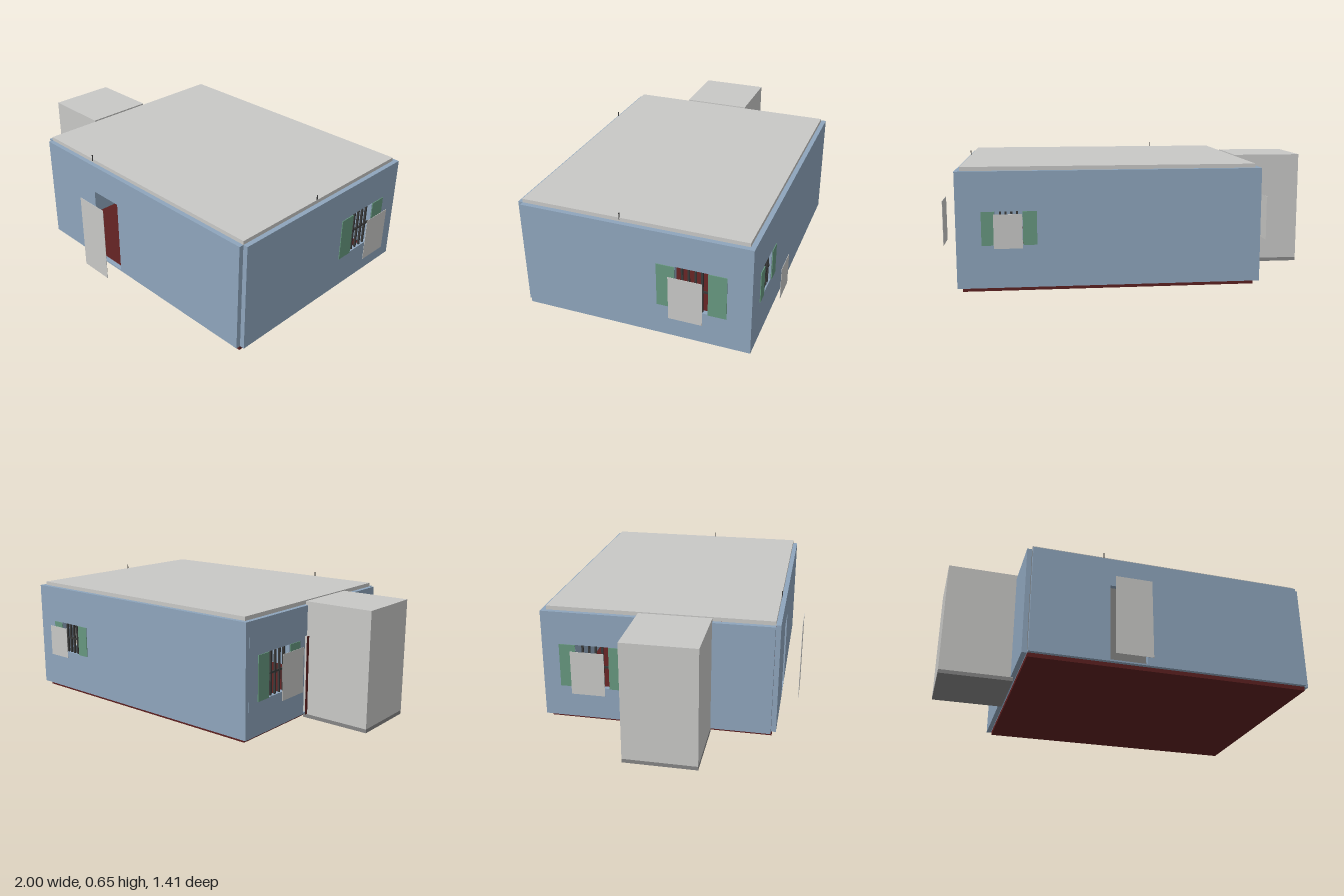
import * as THREE from 'three';

const material = (name, color) => new THREE.MeshStandardMaterial({ name, color, side: THREE.DoubleSide });

export function createModel() {
  const house = new THREE.Group();
  house.name = 'house';
  const blue = material('wall blue', 0x8ea5bc);
  const grey = material('light grey', 0xc8c8c6);
  const red = material('floor red', 0x5c2020);
  const green = material('shutter green', 0x66977f);
  const dark = material('bar grey', 0x3a3a3a);
  const stone = material('base grey', 0x858585);

  const add = (name, geometry, mat, parent = house) => {
    const mesh = new THREE.Mesh(geometry, mat);
    mesh.name = name;
    parent.add(mesh);
    return mesh;
  };

  // Box given by its limits on each axis
  const box = (name, mat, [x0, x1], [y0, y1], [z0, z1], parent) => {
    const g = new THREE.BoxGeometry(x1 - x0, y1 - y0, z1 - z0);
    g.translate((x0 + x1) / 2, (y0 + y1) / 2, (z0 + z1) / 2);
    return add(name, g, mat, parent);
  };

  // Plate across an axis: u runs along x for 'z' plates, along z for 'x' plates
  const plate = (name, mat, axis, pos, u, y, parent, t = 0.002) => {
    const across = [pos - t / 2, pos + t / 2];
    return axis === 'z' ? box(name, mat, u, y, across, parent) : box(name, mat, across, y, u, parent);
  };

  // Wall with rectangular openings [u0, u1, y0, y1]
  const rectangle = (path, u0, u1, y0, y1) =>
    path.moveTo(u0, y0).lineTo(u1, y0).lineTo(u1, y1).lineTo(u0, y1).closePath();
  const thickness = 0.025;
  const wall = (name, axis, pos, u0, u1, openings) => {
    const shape = new THREE.Shape();
    rectangle(shape, u0, u1, 0.022, 0.61);
    for (const o of openings) {
      const hole = new THREE.Path();
      rectangle(hole, ...o);
      shape.holes.push(hole);
    }
    const g = new THREE.ExtrudeGeometry(shape, { depth: thickness, bevelEnabled: false });
    g.translate(0, 0, -thickness / 2);
    if (axis === 'x') g.rotateY(-Math.PI / 2).translate(pos, 0, 0);
    else g.translate(0, 0, pos);
    add(name, g, blue);
  };

  // Window: bars in the opening, a shutter on each side, a loose panel in front
  const windowSet = (name, axis, wallPos, shutterPos, panelPos, [s0, u0, u1, s1], y) => {
    const group = new THREE.Group();
    group.name = name;
    house.add(group);
    plate('leftShutter', green, axis, shutterPos, [s0, u0], y, group, 0.004);
    plate('rightShutter', green, axis, shutterPos, [u1, s1], y, group, 0.004);
    plate('windowPanel', grey, axis, panelPos, [u0, u1], y, group);
    for (let i = 1; i <= 4; i++) {
      const u = u0 + (u1 - u0) * i / 5;
      plate('windowBar', dark, axis, wallPos, [u - 0.005, u + 0.005], y, group, 0.01);
    }
    const mid = (y[0] + y[1]) / 2;
    plate('crossBar', dark, axis, wallPos, [u0, u1], [mid - 0.005, mid + 0.005], group, 0.008);
  };

  // Floor and roof
  box('floor', red, [-0.605, 0.885], [0, 0.022], [-0.595, 0.585]);
  box('roof', grey, [-0.605, 0.885], [0.609, 0.63], [-0.595, 0.581]);

  // Walls, with open notches at the two front corners
  const sideY = [0.198, 0.434];
  const backY = [0.24, 0.41];
  wall('frontWall', 'z', 0.5935, -0.605, 0.885, [[-0.195, 0, 0.03, 0.45]]);
  wall('backWall', 'z', -0.6075, -0.632, 0.91, [[0.58, 0.72, ...backY]]);
  wall('leftWall', 'x', 0.8975, -0.595, 0.581, [[-0.404, -0.234, ...sideY]]);
  wall('rightWall', 'x', -0.62, -0.595, 0.581, [[-0.44, -0.263, ...sideY], [-0.125, 0.07, 0.03, 0.45]]);

  // Windows
  windowSet('leftWindow', 'x', 0.8975, 0.914, 0.998, [-0.498, -0.404, -0.234, -0.14], sideY);
  windowSet('rightWindow', 'x', -0.62, -0.636, -0.718, [-0.527, -0.44, -0.263, -0.175], sideY);
  windowSet('backWindow', 'z', -0.6075, -0.624, -0.705, [0.51, 0.58, 0.72, 0.785], backY);

  // Doors
  plate('frontDoorPanel', grey, 'z', 0.7, [-0.195, 0], [0.022, 0.452]);
  plate('sideDoor', red, 'x', -0.645, [-0.125, 0.07], [0.022, 0.45]);

  // Side annex on its own base
  box('annexBase', stone, [-1, -0.62], [0, 0.02], [-0.106, 0.27]);
  box('annex', grey, [-1, -0.62], [0.02, 0.63], [-0.106, 0.27]);

  // Small roof edge pins
  for (const [x, z] of [[-0.225, 0.583], [0.883, 0.055]]) {
    box('roofPin', dark, [x - 0.002, x + 0.002], [0.62, 0.655], [z - 0.002, z + 0.002]);
  }
  return house;
}
